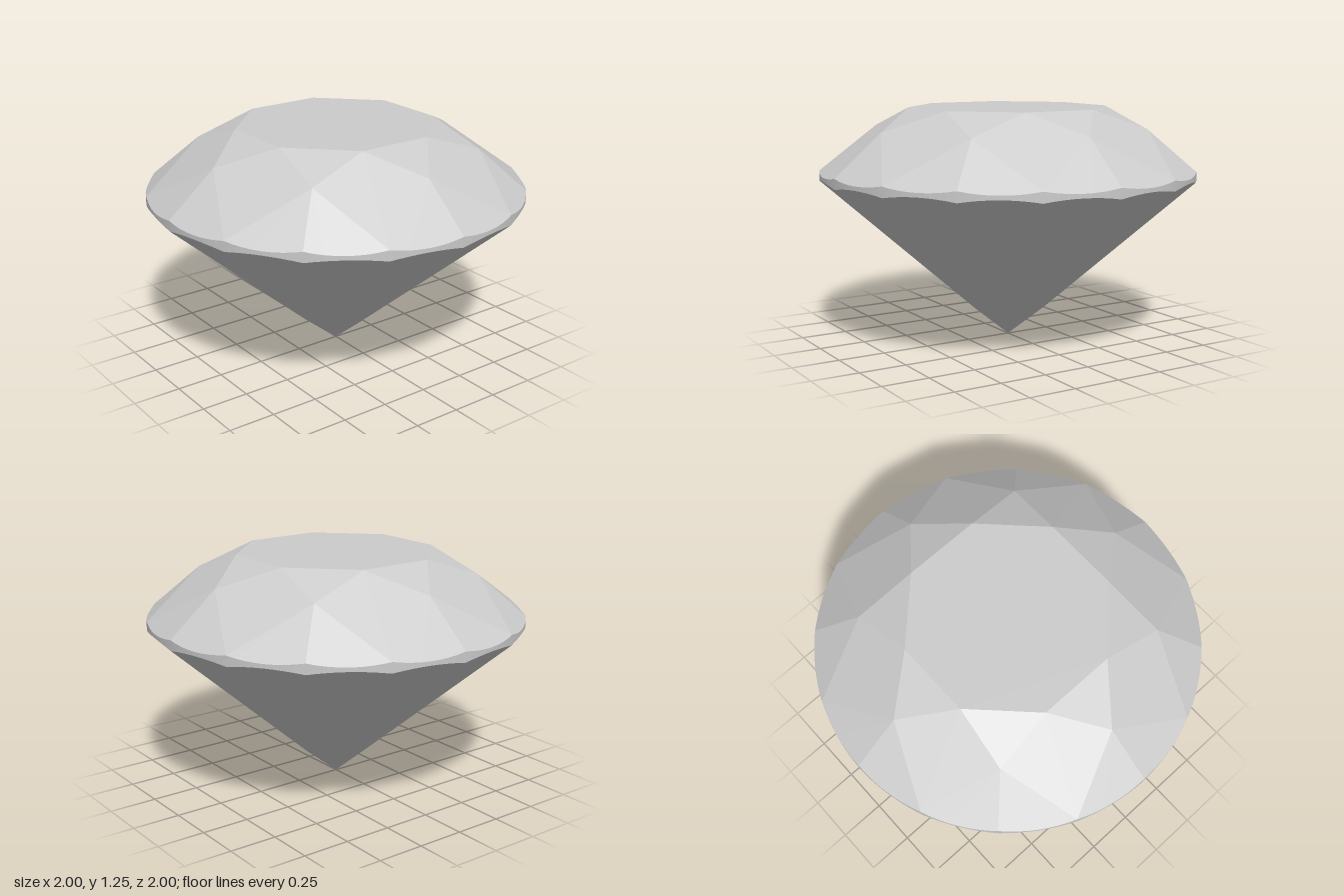
import * as THREE from 'three';

const STEP = Math.PI / 8;            // angle between neighbouring girdle corners
const ARC = 8;                       // segments along each girdle arc
const TABLE = { r: 0.53, y: 1.245 }; // flat octagon on top
const STAR = { r: 0.745, y: 1.135 }; // crown corners between the table and the girdle
const PAVILION = { r: 0.2, y: 0.16 }; // pavilion corners close to the tip
const TOP = 0.92, BOTTOM = 0.865;    // heights of the girdle corners

const point = (r, y, a) => [r * Math.sin(a), y, r * Math.cos(a)];

// Height where the half facet through an inner corner cuts the unit cylinder
function rimHeight(inner, cornerY, t) {
  const c = Math.cos(STEP / 2);
  const slope = (inner.y - cornerY) / (c * (1 - inner.r));
  return cornerY - slope * (Math.cos((t - 0.5) * STEP) - c);
}

// Rim points of half facet number i
function rimArc(inner, cornerY, i) {
  return Array.from({ length: ARC + 1 }, (_, k) =>
    point(1, rimHeight(inner, cornerY, k / ARC), (i + k / ARC) * STEP));
}

// Flat polygons as triangle fans; flip reverses the winding
function facetMesh(name, polygons, material, flip = false) {
  const pos = [];
  for (const p of polygons) {
    for (let i = 1; i < p.length - 1; i++) {
      pos.push(...p[0], ...(flip ? p[i + 1] : p[i]), ...(flip ? p[i] : p[i + 1]));
    }
  }
  const geometry = new THREE.BufferGeometry();
  geometry.setAttribute('position', new THREE.Float32BufferAttribute(pos, 3));
  geometry.computeVertexNormals();
  const mesh = new THREE.Mesh(geometry, material);
  mesh.name = name;
  return mesh;
}

// Smooth round band with scalloped edges
function girdleMesh(material) {
  const pos = [], normal = [], index = [], n = 16 * ARC;
  for (let j = 0; j <= n; j++) {
    const a = (j / ARC) * STEP, t = (j % ARC) / ARC;
    pos.push(...point(1, rimHeight(PAVILION, BOTTOM, t), a), ...point(1, rimHeight(STAR, TOP, t), a));
    normal.push(...point(1, 0, a), ...point(1, 0, a));
    const b = 2 * j;
    if (j < n) index.push(b, b + 2, b + 1, b + 1, b + 2, b + 3);
  }
  const geometry = new THREE.BufferGeometry();
  geometry.setAttribute('position', new THREE.Float32BufferAttribute(pos, 3));
  geometry.setAttribute('normal', new THREE.Float32BufferAttribute(normal, 3));
  geometry.setIndex(index);
  const mesh = new THREE.Mesh(geometry, material);
  mesh.name = 'girdle';
  return mesh;
}

export function createModel() {
  const flat = new THREE.MeshStandardMaterial({ color: 0xcccccc, flatShading: true });
  const smooth = new THREE.MeshStandardMaterial({ color: 0xcccccc });
  const table = [], stars = [], kites = [], upperHalves = [], mains = [], lowerHalves = [];

  for (let i = 0; i < 16; i += 2) {
    const a = i * STEP, mid = a + STEP, next = a + 2 * STEP;
    const tableCorner = point(TABLE.r, TABLE.y, mid);
    const star = point(STAR.r, STAR.y, a), nextStar = point(STAR.r, STAR.y, next);
    const low = point(PAVILION.r, PAVILION.y, a), nextLow = point(PAVILION.r, PAVILION.y, next);

    // Crown
    table.push(tableCorner);
    stars.push([point(TABLE.r, TABLE.y, a - STEP), star, tableCorner]);
    kites.push([tableCorner, star, point(1, TOP, mid), nextStar]);
    upperHalves.push([star, ...rimArc(STAR, TOP, i)], [nextStar, ...rimArc(STAR, TOP, i + 1)]);

    // Pavilion
    mains.push([[0, 0, 0], low, point(1, BOTTOM, mid), nextLow]);
    lowerHalves.push([low, ...rimArc(PAVILION, BOTTOM, i)], [nextLow, ...rimArc(PAVILION, BOTTOM, i + 1)]);
  }

  const crown = new THREE.Group();
  crown.name = 'crown';
  crown.add(
    facetMesh('table', [table], flat),
    facetMesh('starFacets', stars, flat),
    facetMesh('kiteFacets', kites, flat),
    facetMesh('upperHalfFacets', upperHalves, flat));

  const pavilion = new THREE.Group();
  pavilion.name = 'pavilion';
  pavilion.add(
    facetMesh('mainFacets', mains, flat, true),
    facetMesh('lowerHalfFacets', lowerHalves, flat, true));

  const gem = new THREE.Group();
  gem.name = 'gemstone';
  gem.add(crown, girdleMesh(smooth), pavilion);
  return gem;
}
